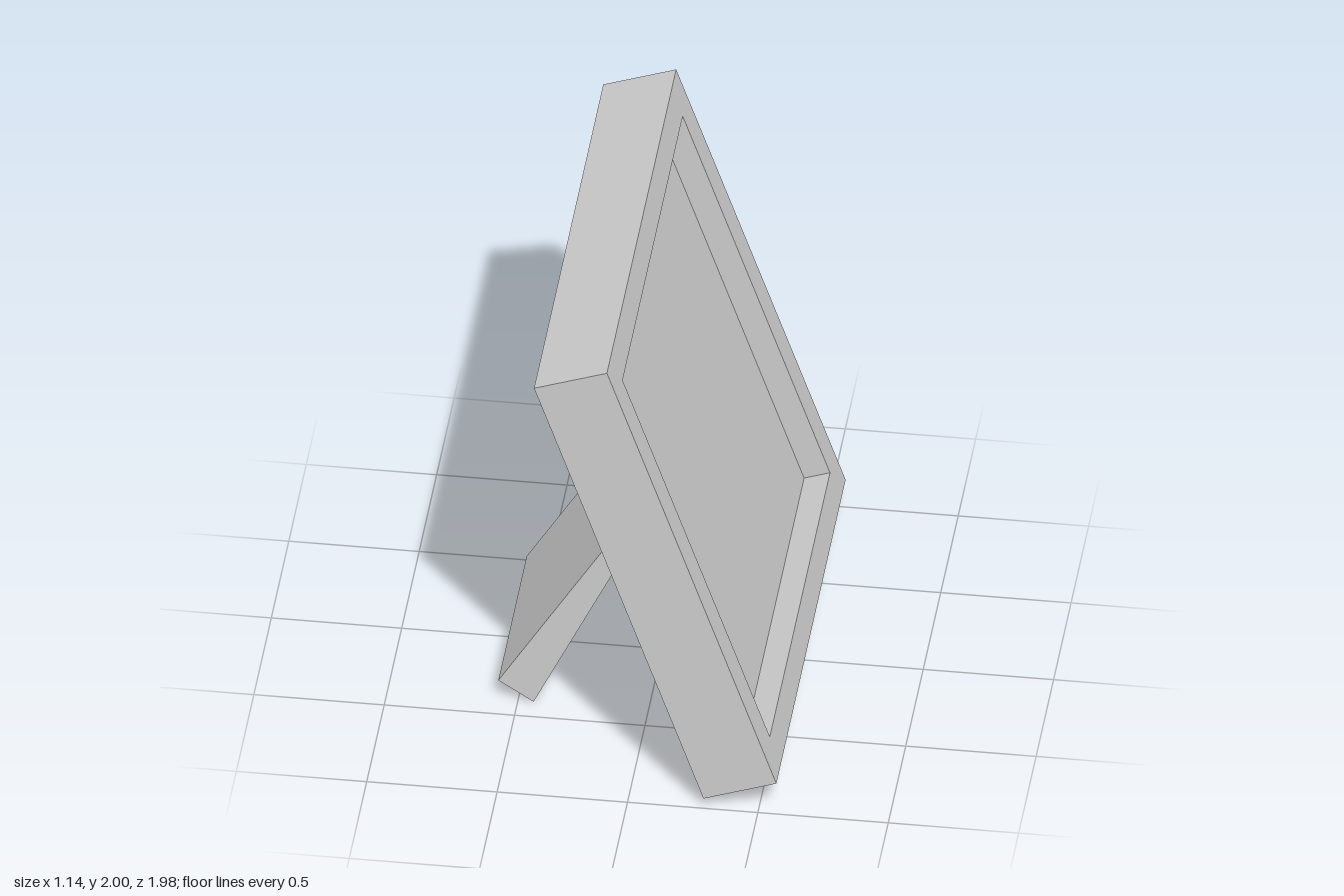
import * as THREE from 'three';

const material = new THREE.MeshStandardMaterial({ color: 0xcccccc, flatShading: true });

// Tilted frame: a four-sided lathe whose profile steps down into the picture recess
function createFrame() {
  const half = 0.148, floor = half - 0.105, corner = Math.SQRT2, inner = corner * 0.869;
  const profile = [
    [0, -half], [corner, -half], [corner, half],
    [inner, half], [inner, floor], [0, floor],
  ].map(([r, y]) => new THREE.Vector2(r, y));
  const geometry = new THREE.LatheGeometry(profile, 4, Math.PI / 4).toNonIndexed();
  geometry.rotateZ(-Math.PI / 2); // recess faces +x
  geometry.scale(1, 0.988, 0.99);
  geometry.computeVertexNormals();
  const frame = new THREE.Mesh(geometry, material);
  frame.name = 'pictureFrame';
  frame.rotation.z = THREE.MathUtils.degToRad(19.2);
  frame.position.set(0.105, 1.02, 0);
  return frame;
}

// Wedge-shaped easel leg, thicker at the foot, its top tucked into the frame's back
function createLeg() {
  const width = 0.808;
  const side = new THREE.Shape([
    [-0.575, 0.088], [-0.44, 0], [-0.005, 0.905], [-0.03, 0.97],
  ].map(([x, y]) => new THREE.Vector2(x, y)));
  const geometry = new THREE.ExtrudeGeometry(side, { depth: width, bevelEnabled: false });
  geometry.translate(0, 0, -width / 2);
  const leg = new THREE.Mesh(geometry, material);
  leg.name = 'easelLeg';
  return leg;
}

export function createModel() {
  const model = new THREE.Group();
  model.name = 'standingPictureFrame';
  model.add(createFrame(), createLeg());
  return model;
}
